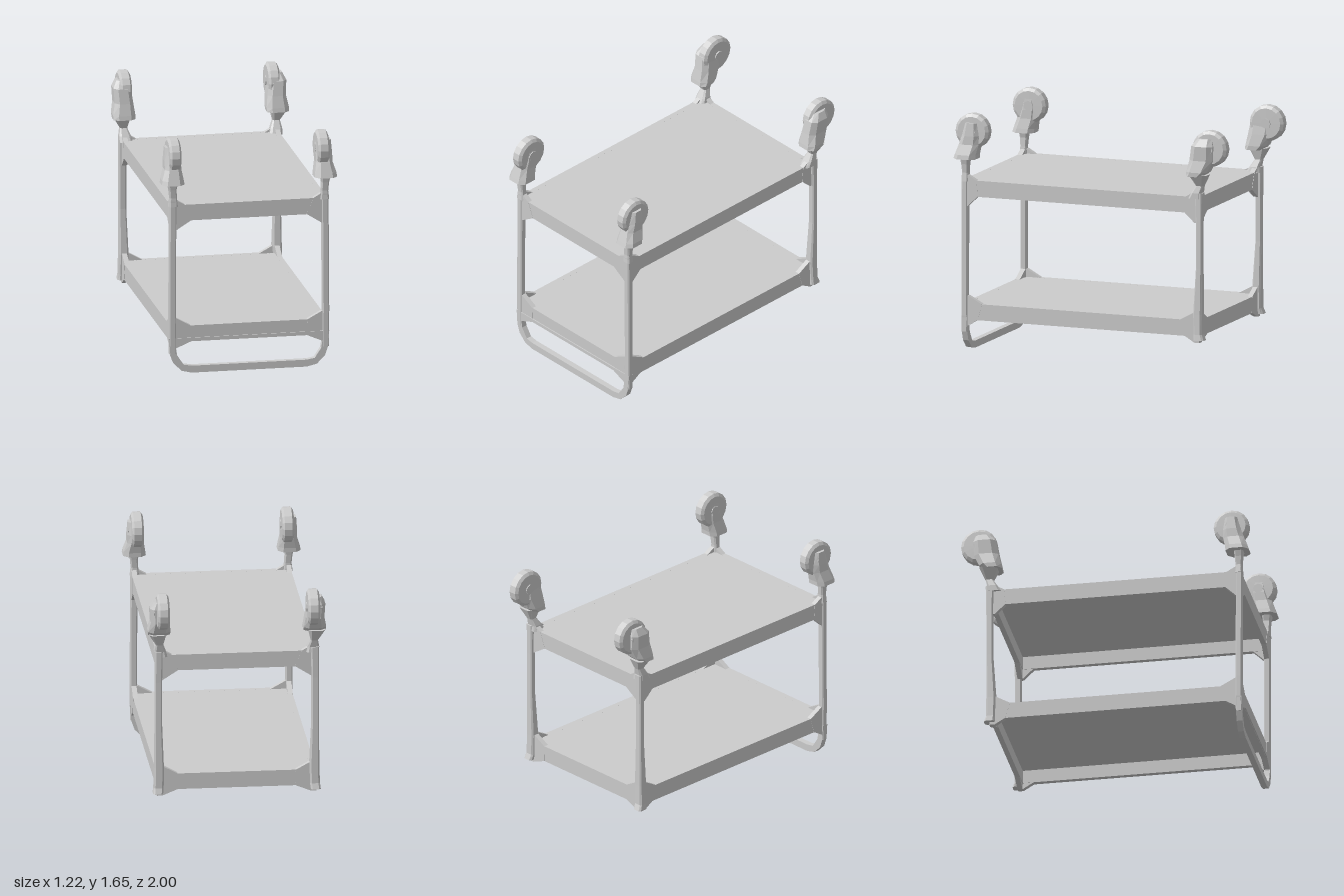
import * as THREE from 'three';

const material = new THREE.MeshStandardMaterial({ color: 0xcccccc, flatShading: true, side: THREE.DoubleSide });

const makeShape = (points, Type = THREE.Shape) => new Type(points.map(([x, y]) => new THREE.Vector2(x, y)));
const extrude = (shape, depth) => new THREE.ExtrudeGeometry(shape, { depth, bevelEnabled: false });

// Skin of chamfered rectangles [y, x, z, halfX, halfZ], listed from low to high
function loft(sections, chamfer = 0.35) {
  const k = 1 - chamfer;
  const corners = [[1, -k], [1, k], [k, 1], [-k, 1], [-1, k], [-1, -k], [-k, -1], [k, -1]];
  const positions = [], index = [], n = corners.length;
  for (const [y, x, z, hx, hz] of sections) {
    for (const [u, v] of corners) positions.push(x + u * hx, y, z + v * hz);
  }
  for (let r = 0; r < sections.length - 1; r++) {
    for (let i = 0; i < n; i++) {
      const a = r * n + i, b = r * n + (i + 1) % n;
      index.push(a, a + n, b, b, a + n, b + n);
    }
  }
  const top = (sections.length - 1) * n;
  for (let i = 1; i < n - 1; i++) {
    index.push(0, i, i + 1, top, top + i + 1, top + i);
  }
  const geometry = new THREE.BufferGeometry();
  geometry.setAttribute('position', new THREE.Float32BufferAttribute(positions, 3));
  geometry.setIndex(index);
  geometry.computeVertexNormals();
  return geometry;
}

const FRONT = 0.94, BACK = -0.8, HALF = 0.545;

export function createModel() {
  const group = new THREE.Group();
  const add = (name, geometry, parent = group) => {
    const mesh = new THREE.Mesh(geometry, material);
    mesh.name = name;
    parent.add(mesh);
    return mesh;
  };
  const rectangle = (inset) => [
    [-HALF + inset, BACK + inset], [HALF - inset, BACK + inset],
    [HALF - inset, FRONT - inset], [-HALF + inset, FRONT - inset],
  ];

  // Two trays: a flat sheet with a rim hanging below it
  for (const [label, top] of [['lower', 0.335], ['upper', 1.19]]) {
    const rim = makeShape(rectangle(0));
    rim.holes.push(makeShape(rectangle(0.035), THREE.Path));
    add(label + 'Rim', extrude(rim, 0.112).rotateX(Math.PI / 2).translate(0, top, 0));
    add(label + 'Sheet', new THREE.BoxGeometry(2 * HALF - 0.06, 0.02, FRONT - BACK - 0.06)
      .translate(0, top - 0.0101, (FRONT + BACK) / 2));
  }

  // Front hoop with rounded lower corners
  const half = [[0.4, 0.003], [0.47, 0.02], [0.525, 0.075], [0.548, 0.14], [0.556, 0.25]];
  const hole = [[0.4, 0.052], [0.455, 0.062], [0.5, 0.13], [0.508, 0.18], [0.4, 0.226]];
  const mirrored = (pts) => [...pts, ...pts.map(([x, y]) => [-x, y]).reverse()];
  const hoop = makeShape(mirrored(half));
  hoop.holes.push(makeShape(mirrored(hole), THREE.Path));
  add('frontHoop', extrude(hoop, 0.04).translate(0, 0, 0.907));

  for (const s of [1, -1]) {
    const side = s > 0 ? 'left' : 'right';

    // Posts; the rear ones end in a small flared foot
    add(side + 'FrontPost', loft([
      [0.14, s * 0.53, 0.927, 0.024, 0.022],
      [0.4, s * 0.533, 0.927, 0.024, 0.022],
      [1.22, s * 0.528, 0.927, 0.024, 0.022],
    ]));
    add(side + 'RearPost', loft([
      [0.2, s * 0.54, -0.8, 0.034, 0.038],
      [0.24, s * 0.535, -0.793, 0.034, 0.03],
      [0.38, s * 0.532, -0.79, 0.033, 0.032],
      [0.7, s * 0.537, -0.8, 0.025, 0.022],
      [1.0, s * 0.537, -0.8, 0.025, 0.022],
      [1.22, s * 0.535, -0.798, 0.028, 0.028],
    ]));

    // Corner gussets above and below each tray, on the end and long faces
    for (const [name, sign, z] of [['Front', 1, FRONT], ['Rear', -1, BACK]]) {
      for (const [top, rise] of [[0.335, 0.055], [1.19, 0.035]]) {
        const low = top - 0.11;
        const drop = top < 1 ? 0.045 : 0.07;
        const reach = top < 1 ? 0.14 : 0.1;
        const face = (edge, dir, length) => makeShape([
          [edge, low - drop], [edge - dir * 0.035, low - drop], [edge - dir * length, low],
          [edge - dir * reach, top], [edge - dir * 0.04, top + rise], [edge, top + rise],
        ]);
        add(side + name + 'EndGusset', extrude(face(s * HALF, s, 0.145), 0.034)
          .translate(0, 0, sign > 0 ? z - 0.032 : z - 0.002));
        add(side + name + 'SideGusset', extrude(face(z, sign, 0.11), 0.034)
          .rotateY(-Math.PI / 2).translate(s > 0 ? HALF + 0.002 : -HALF + 0.032, 0, 0));
      }
    }

    // Casters: flared stem, tapering fork housing and a wheel with a hub
    for (const front of [true, false]) {
      const caster = new THREE.Group();
      caster.name = side + (front ? 'Front' : 'Rear') + 'Caster';
      group.add(caster);
      add('stem', loft(front ? [
        [1.18, s * 0.525, 0.925, 0.032, 0.026],
        [1.24, s * 0.525, 0.925, 0.025, 0.022],
        [1.3, s * 0.53, 0.925, 0.026, 0.027],
        [1.35, s * 0.53, 0.925, 0.038, 0.034],
      ] : [
        [1.18, s * 0.52, -0.77, 0.045, 0.05],
        [1.22, s * 0.525, -0.78, 0.04, 0.036],
        [1.27, s * 0.53, -0.802, 0.025, 0.026],
        [1.35, s * 0.545, -0.8, 0.058, 0.065],
      ]), caster);
      add('fork', loft(front ? [
        [1.34, s * 0.53, 0.918, 0.078, 0.08],
        [1.37, s * 0.53, 0.912, 0.074, 0.076],
        [1.44, s * 0.525, 0.892, 0.057, 0.072],
        [1.5, s * 0.525, 0.88, 0.057, 0.062],
        [1.59, s * 0.525, 0.875, 0.05, 0.045],
      ] : [
        [1.34, s * 0.533, -0.772, 0.075, 0.06],
        [1.37, s * 0.533, -0.792, 0.077, 0.075],
        [1.45, s * 0.53, -0.82, 0.064, 0.085],
        [1.55, s * 0.54, -0.83, 0.06, 0.078],
        [1.6, s * 0.53, -0.845, 0.045, 0.05],
      ], 0.45), caster);
      const r = front ? 0.122 : 0.125;
      const profile = [[0, -0.042], [r - 0.02, -0.04], [r, -0.026], [r, 0.026], [r - 0.02, 0.04], [0, 0.042]];
      add('wheel', new THREE.LatheGeometry(profile.map(([x, y]) => new THREE.Vector2(x, y)), 16)
        .rotateZ(Math.PI / 2).translate(s * 0.515, 1.53, front ? 0.873 : -0.874), caster);
      add('hub', new THREE.CylinderGeometry(0.035, 0.035, 0.11, 8)
        .rotateZ(Math.PI / 2).translate(s * 0.522, 1.53, front ? 0.873 : -0.874), caster);
    }
  }
  return group;
}
